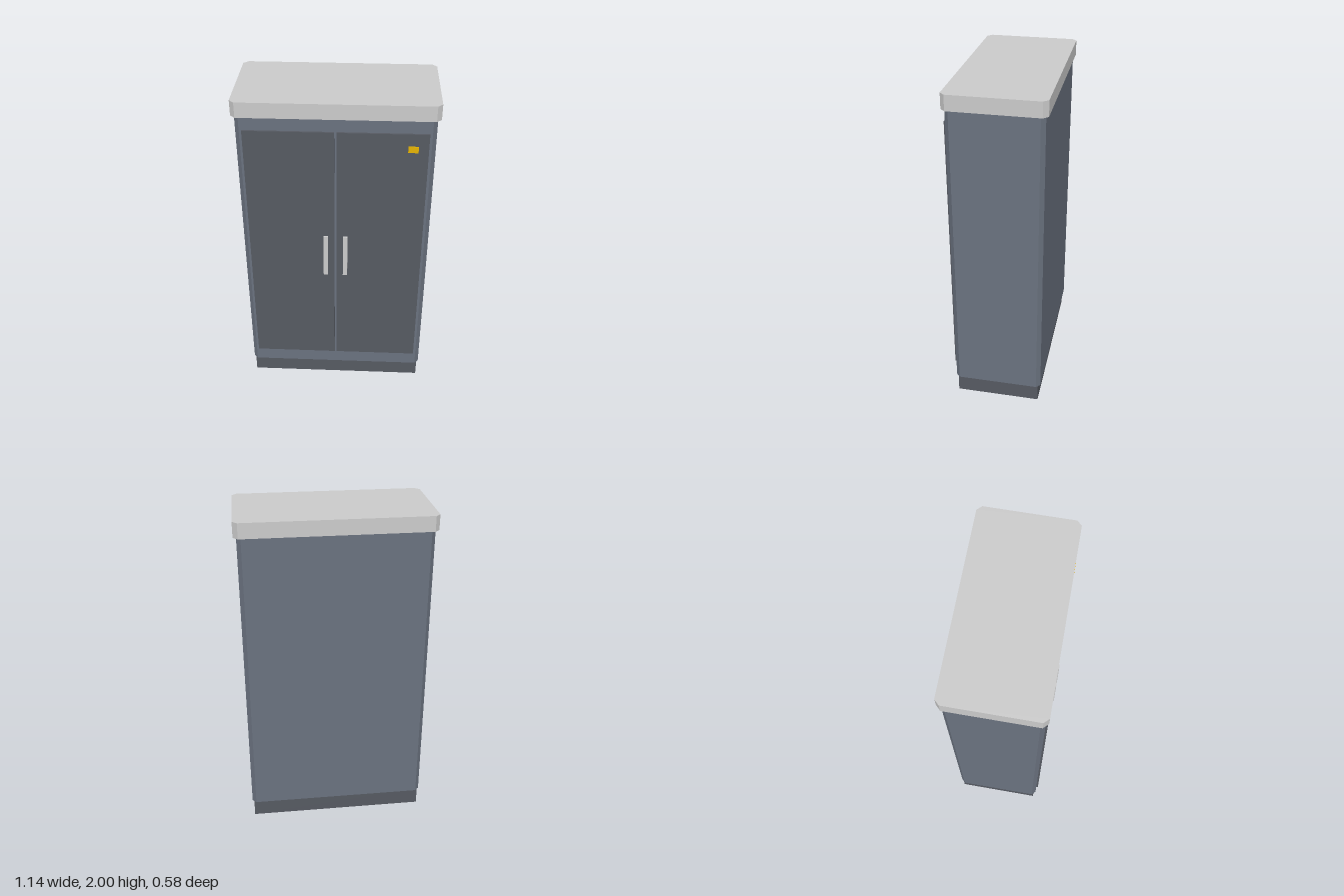
import * as THREE from 'three';

const material = (color) => new THREE.MeshStandardMaterial({ color, flatShading: true });

export function createModel() {
  const model = new THREE.Group();
  const light = material(0xcccccc);
  const slate = material(0x6a727f);
  const dark = material(0x565a62);
  const yellow = material(0xe6b400);

  const add = (name, geometry, mat) => {
    const mesh = new THREE.Mesh(geometry, mat);
    mesh.name = name;
    model.add(mesh);
    return mesh;
  };

  // Box given by its limits on each axis
  const box = (name, mat, x0, x1, y0, y1, z0, z1) => {
    const mesh = add(name, new THREE.BoxGeometry(x1 - x0, y1 - y0, z1 - z0), mat);
    mesh.position.set((x0 + x1) / 2, (y0 + y1) / 2, (z0 + z1) / 2);
    return mesh;
  };

  // Upright block with its four vertical edges cut at 45 degrees
  const chamferedBlock = (name, mat, w, d, c, y0, y1, z) => {
    const x = w / 2, h = d / 2;
    const outline = new THREE.Shape([
      [-x + c, -h], [x - c, -h], [x, -h + c], [x, h - c],
      [x - c, h], [-x + c, h], [-x, h - c], [-x, -h + c],
    ].map(([a, b]) => new THREE.Vector2(a, b)));
    const geometry = new THREE.ExtrudeGeometry(outline, { depth: y1 - y0, bevelEnabled: false });
    geometry.rotateX(-Math.PI / 2);
    add(name, geometry, mat).position.set(0, y0, z);
  };

  const zMid = -0.004;
  box('plinth', dark, -0.542, 0.542, 0, 0.11, zMid - 0.256, zMid + 0.256);
  chamferedBlock('cabinetBody', slate, 1.106, 0.54, 0.024, 0.11, 1.91, zMid);
  chamferedBlock('topCap', light, 1.142, 0.572, 0.028, 1.91, 2, zMid);

  // Double doors with their upright handles
  for (const [side, s] of [['left', 1], ['right', -1]]) {
    const door = box(side + 'Door', dark, 0.006, 0.514, 0.205, 1.83, 0.26, 0.277);
    const handle = box(side + 'Handle', light, 0.045, 0.072, 0.86, 1.143, 0.27, 0.288);
    door.position.x *= s;
    handle.position.x *= s;
  }

  // Small warning plate
  box('warningPlate', yellow, 0.4, 0.457, 1.72, 1.757, 0.27, 0.283);

  return model;
}
